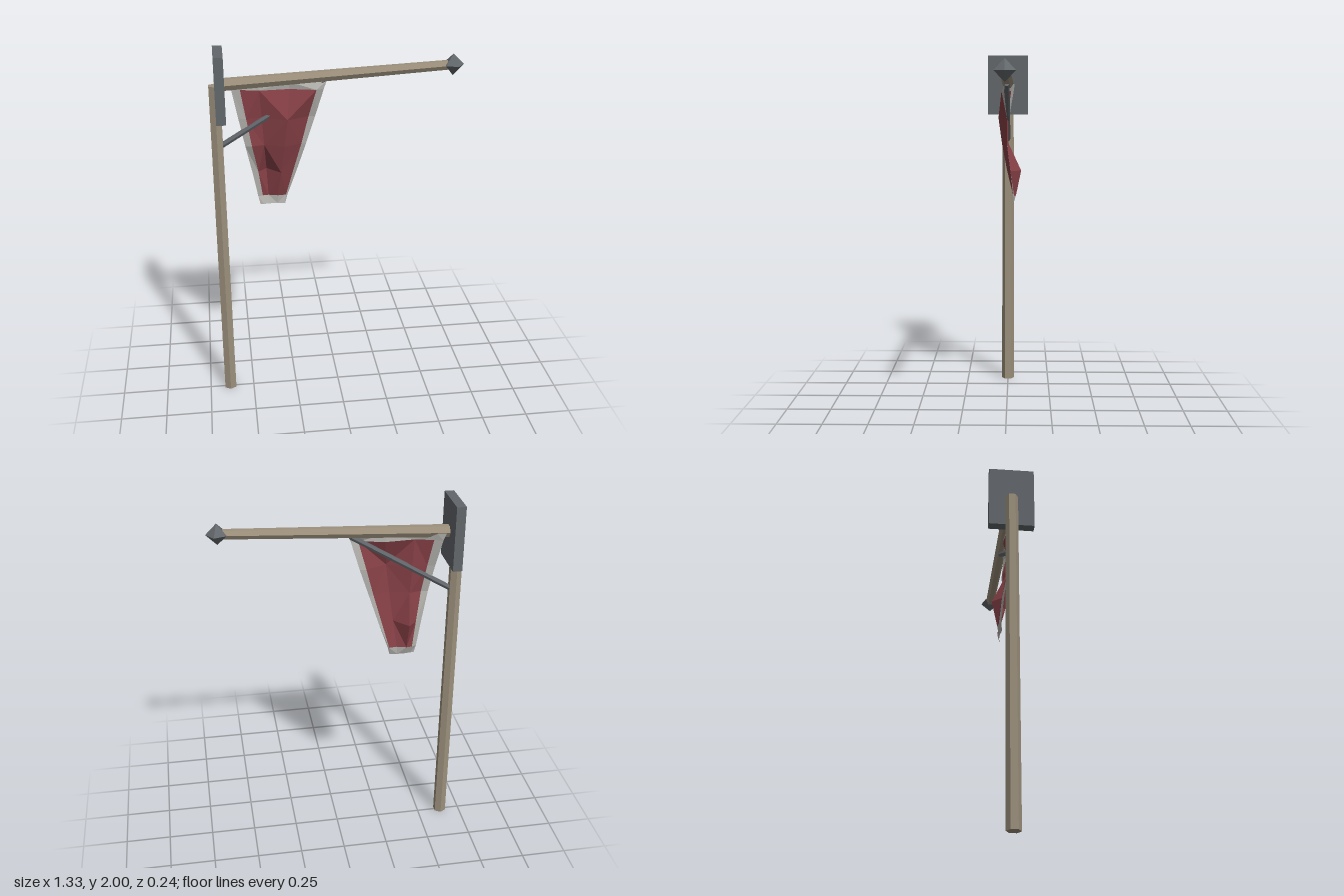
import * as THREE from 'three';

const mat = (color, side = THREE.FrontSide) =>
  new THREE.MeshStandardMaterial({ color, side, flatShading: true });

// Faceted rod between two points, r0 at the start and r1 at the end
function rod(name, a, b, r0, r1, sides, material) {
  const from = new THREE.Vector3(...a), to = new THREE.Vector3(...b);
  const dir = to.clone().sub(from);
  const mesh = new THREE.Mesh(new THREE.CylinderGeometry(r1, r0, dir.length(), sides), material);
  mesh.position.copy(from).add(to).multiplyScalar(0.5);
  mesh.quaternion.setFromUnitVectors(new THREE.Vector3(0, 1, 0), dir.normalize());
  mesh.name = name;
  return mesh;
}

// Cloth rows: height, outer left, inner left, inner right, outer right (x), then six depths
const ROWS = [
  [1.83, -0.565, -0.515, -0.115, -0.06, [-0.04, -0.03, 0, 0, 0.01, 0.01]],
  [1.79, -0.55, -0.505, -0.115, -0.075, [-0.035, -0.02, 0.005, -0.005, 0.03, 0.015]],
  [1.64, -0.52, -0.48, -0.155, -0.12, [-0.01, 0, -0.005, 0.05, 0, 0]],
  [1.49, -0.49, -0.455, -0.195, -0.17, [0, 0.01, -0.005, 0.03, 0, 0]],
  [1.33, -0.457, -0.425, -0.24, -0.222, [-0.02, -0.03, -0.08, 0, -0.02, -0.02]],
  [1.185, -0.43, -0.405, -0.28, -0.273, [-0.035, -0.045, -0.05, -0.035, -0.04, -0.035]],
  [1.14, -0.42, -0.4, -0.288, -0.285, [-0.03, -0.03, -0.035, -0.035, -0.03, -0.03]],
];

function clothPoint(row, col) {
  const [y, outerL, innerL, innerR, outerR, depth] = ROWS[row];
  const w = innerR - innerL;
  const xs = [outerL, innerL, innerL + w * 0.25, innerL + w * 0.65, innerR, outerR];
  return [xs[col], y, depth[col]];
}

// Collects either the border cells or the inner cells of the cloth
function cloth(name, border, material) {
  const pos = [];
  for (let r = 0; r < ROWS.length - 1; r++) {
    for (let c = 0; c < 5; c++) {
      const isBorder = r === 0 || r === ROWS.length - 2 || c === 0 || c === 4;
      if (isBorder !== border) continue;
      const a = clothPoint(r, c), b = clothPoint(r + 1, c);
      const d = clothPoint(r + 1, c + 1), e = clothPoint(r, c + 1);
      // alternate the diagonal for crumpled folds
      if ((r + c) % 2) pos.push(...a, ...b, ...d, ...a, ...d, ...e);
      else pos.push(...a, ...b, ...e, ...b, ...d, ...e);
    }
  }
  const geo = new THREE.BufferGeometry();
  geo.setAttribute('position', new THREE.Float32BufferAttribute(pos, 3));
  geo.computeVertexNormals();
  const mesh = new THREE.Mesh(geo, material);
  mesh.name = name;
  return mesh;
}

export function createModel() {
  const model = new THREE.Group();
  model.name = 'bannerPost';
  const wood = mat(0x9c907c), metal = mat(0x62676b);

  // Post and slightly rising cross beam
  model.add(rod('post', [-0.635, 0, 0], [-0.635, 1.825, 0], 0.037, 0.034, 6, wood));
  model.add(rod('beam', [-0.61, 1.828, 0], [0.605, 1.89, 0], 0.034, 0.026, 6, wood));

  // Metal plate joining post and beam
  const plate = new THREE.Mesh(new THREE.BoxGeometry(0.05, 0.35, 0.24), metal);
  plate.position.set(-0.61, 1.825, 0);
  plate.name = 'plate';
  model.add(plate);

  // Five-sided finial at the beam's end
  const finial = new THREE.Mesh(new THREE.SphereGeometry(0.057, 5, 2), metal);
  finial.position.set(0.605, 1.89, 0);
  finial.rotation.set(0, Math.PI, 0);
  finial.name = 'finial';
  model.add(finial);

  // Diagonal brace under the beam
  model.add(rod('brace', [-0.62, 1.495, 0], [-0.07, 1.83, 0], 0.015, 0.015, 6, metal));

  // Crumpled banner with a pale border
  const banner = new THREE.Group();
  banner.name = 'banner';
  banner.add(cloth('bannerCloth', false, mat(0x843f45, THREE.DoubleSide)));
  banner.add(cloth('bannerBorder', true, mat(0xb0afaa, THREE.DoubleSide)));
  model.add(banner);

  return model;
}
